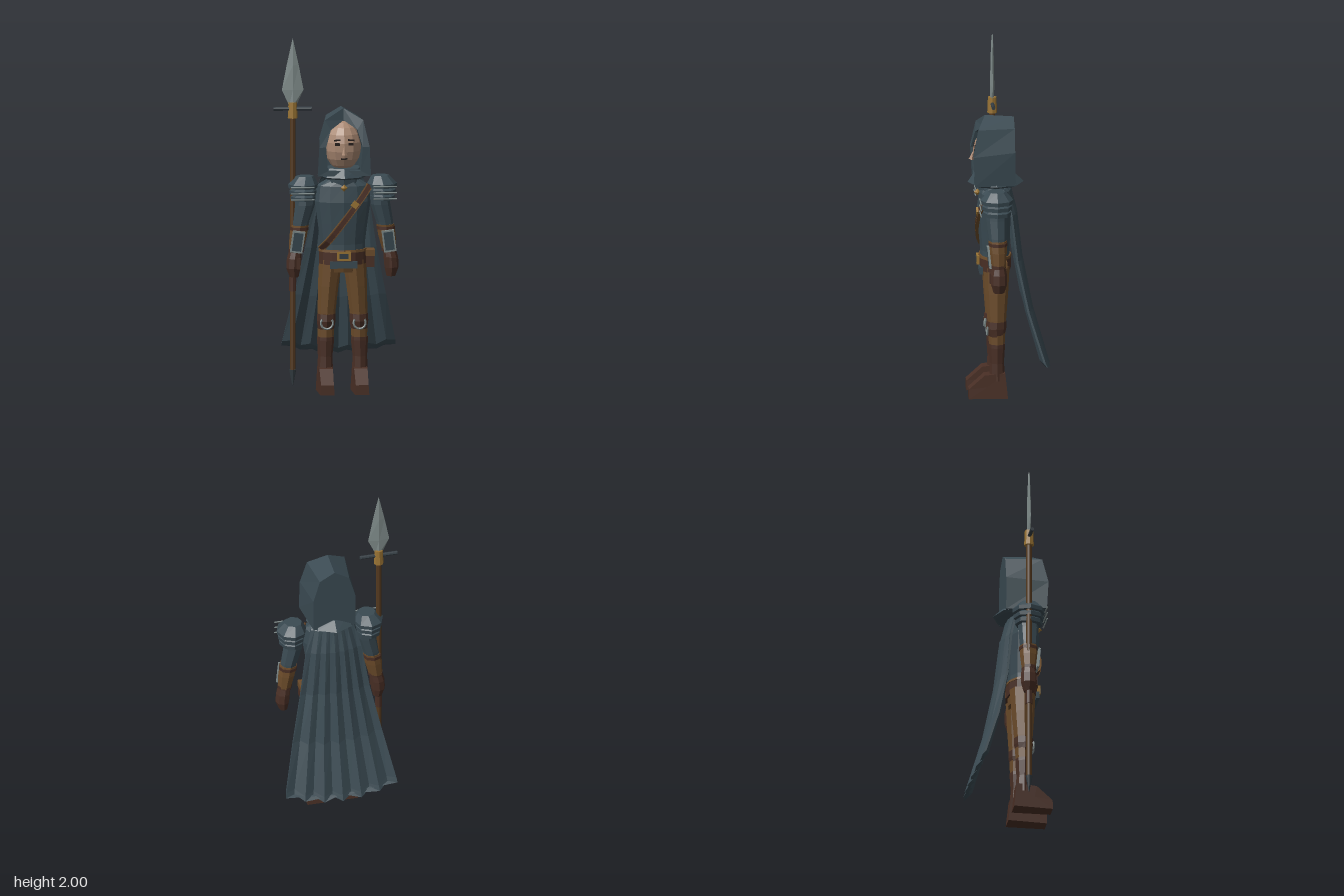
import * as THREE from 'three';

const mat = (name, color) => {
  const m = new THREE.MeshStandardMaterial({ color });
  m.name = name;
  return m;
};

// One ring of points around a vertical axis
const ring = (cx, y, cz, rx, rz, n = 8) =>
  Array.from({ length: n }, (_, i) => {
    const a = (i / n) * Math.PI * 2;
    return [cx + rx * Math.sin(a), y, cz + rz * Math.cos(a)];
  });

// Closed faceted skin through a list of equal loops, always facing outwards
function loft(loops) {
  const tris = [];
  const n = loops[0].length;
  for (let j = 0; j < loops.length - 1; j++) {
    for (let i = 0; i < n; i++) {
      const k = (i + 1) % n;
      const [a, b, c, d] = [loops[j][i], loops[j][k], loops[j + 1][k], loops[j + 1][i]];
      tris.push([a, b, c], [a, c, d]);
    }
  }
  const cap = (l, flip) => {
    const c = [0, 1, 2].map(q => l.reduce((s, p) => s + p[q], 0) / n);
    l.forEach((p, i) => {
      const o = l[(i + 1) % n];
      tris.push(flip ? [c, o, p] : [c, p, o]);
    });
  };
  cap(loops[0], true);
  cap(loops[loops.length - 1], false);
  let volume = 0;
  for (const [a, b, c] of tris) {
    volume += a[0] * (b[1] * c[2] - b[2] * c[1]) + a[1] * (b[2] * c[0] - b[0] * c[2]) + a[2] * (b[0] * c[1] - b[1] * c[0]);
  }
  if (volume < 0) tris.forEach(t => t.reverse());
  const g = new THREE.BufferGeometry();
  g.setAttribute('position', new THREE.Float32BufferAttribute(tris.flat(2), 3));
  g.computeVertexNormals();
  return g;
}

const facet = g => {
  const f = g.index ? g.toNonIndexed() : g;
  f.computeVertexNormals();
  return f;
};

export function createModel() {
  const M = {
    cloth: mat('slate cloth', 0x3a4a52),
    trouser: mat('tan leather', 0x6b4b2a),
    leather: mat('dark brown leather', 0x492f25),
    skin: mat('skin', 0xa98872),
    steel: mat('pale steel', 0x818d8c),
    iron: mat('dark iron', 0x343d43),
    gold: mat('brass', 0x9a7434),
    wood: mat('spear wood', 0x54391f),
    dark: mat('eye black', 0x231c1a),
  };
  const model = new THREE.Group();
  const body = new THREE.Group();
  body.name = 'figure';
  body.position.x = 0.03;
  model.add(body);

  const add = (name, geo, m, x = 0, y = 0, z = 0, parent = body) => {
    const mesh = new THREE.Mesh(geo, m);
    mesh.name = name;
    mesh.position.set(x, y, z);
    parent.add(mesh);
    return mesh;
  };
  const box = (name, w, h, d, m, x, y, z) => add(name, new THREE.BoxGeometry(w, h, d), m, x, y, z);
  // rows: [x, y, z, rx, rz]
  const limb = (name, m, rows, n = 8) => add(name, loft(rows.map(r => ring(...r, n))), m);

  // Torso, belt and tunic hem
  limb('torso', M.cloth, [[0, 0.76, 0.085, 0.125, 0.085], [0, 0.84, 0.085, 0.125, 0.083], [0, 0.96, 0.088, 0.14, 0.09],
    [0, 1.08, 0.09, 0.158, 0.096], [0, 1.17, 0.088, 0.148, 0.085], [0, 1.21, 0.088, 0.08, 0.07]], 12);
  limb('hips', M.trouser, [[0, 0.68, 0.08, 0.1, 0.07], [0, 0.76, 0.085, 0.125, 0.083]], 12);
  limb('belt', M.leather, [[0, 0.725, 0.085, 0.132, 0.09], [0, 0.8, 0.085, 0.132, 0.09]], 12);
  limb('beltTrim', M.trouser, [[0, 0.796, 0.085, 0.136, 0.094], [0, 0.81, 0.085, 0.134, 0.092]], 12);
  box('tunicHem', 0.155, 0.04, 0.02, M.cloth, 0, 0.727, 0.165);
  box('buckle', 0.075, 0.05, 0.014, M.gold, 0, 0.778, 0.181);
  box('buckleCentre', 0.05, 0.028, 0.006, M.iron, 0, 0.778, 0.189);
  box('pouch', 0.045, 0.09, 0.08, M.leather, 0.155, 0.75, 0.07);
  box('pouchFlap', 0.052, 0.035, 0.086, M.trouser, 0.155, 0.785, 0.07);

  // Diagonal chest strap with stitched edges
  const strap = (w, lift, shift) => loft(Array.from({ length: 9 }, (_, i) => {
    const t = i / 8, x = -0.125 + 0.275 * t, y = 0.81 + 0.36 * t;
    const half = 0.126 + 0.036 * Math.sin(t * 2.1);
    const z = 0.088 + 0.094 * Math.sqrt(Math.max(0.05, 1 - (x / half) ** 2));
    const p = (s, dz) => [x - 0.8 * (s * w + shift), y + 0.6 * (s * w + shift), z + dz];
    return [p(-1, -0.01), p(1, -0.01), p(1, lift), p(-1, lift)];
  }));
  add('chestStrap', strap(0.016, 0.01, 0), M.leather);
  for (const s of [-1, 1]) add('strapEdge', strap(0.0025, 0.013, s * 0.016), M.trouser);
  box('strapBuckle', 0.035, 0.035, 0.012, M.gold, 0.062, 1.07, 0.188).rotation.z = 0.92;

  // Neck and flared collar
  limb('neck', M.cloth, [[0, 1.15, 0.085, 0.1, 0.085], [0, 1.25, 0.095, 0.09, 0.085]]);
  limb('collar', M.cloth, [[0, 1.215, 0.08, 0.13, 0.14], [0, 1.225, 0.08, 0.14, 0.158], [0, 1.275, 0.09, 0.115, 0.115]]);
  add('clasp', facet(new THREE.OctahedronGeometry(0.02)), M.gold, 0, 1.165, 0.182);

  // Head and face
  const head = add('head', facet(new THREE.SphereGeometry(1, 12, 9)), M.skin, 0, 1.395, 0.108);
  head.scale.set(0.104, 0.14, 0.1);
  for (const s of [-1, 1]) {
    box('eye', 0.028, 0.014, 0.009, M.dark, s * 0.038, 1.415, 0.199);
    box('eyebrow', 0.036, 0.008, 0.009, M.dark, s * 0.04, 1.438, 0.197).rotation.z = -s * 0.1;
  }
  const nose = add('nose', facet(new THREE.ConeGeometry(0.016, 0.055, 4)), M.skin, 0, 1.382, 0.21);
  nose.rotation.x = -0.2;
  box('mouth', 0.034, 0.008, 0.009, M.dark, 0, 1.332, 0.195);

  // Hood: back wall, outer rim, inner rim, inner back wall
  const hoodLoop = half => [...half, ...half.slice(1).reverse().map(([x, y, z]) => [-x, y, z])];
  add('hood', loft([
    hoodLoop([[0, 1.6, -0.022], [0.085, 1.55, -0.022], [0.122, 1.42, -0.022], [0.12, 1.225, -0.022]]),
    hoodLoop([[0, 1.612, 0.14], [0.108, 1.55, 0.185], [0.142, 1.4, 0.215], [0.15, 1.235, 0.205]]),
    hoodLoop([[0, 1.545, 0.15], [0.075, 1.495, 0.19], [0.103, 1.4, 0.213], [0.092, 1.265, 0.203]]),
    hoodLoop([[0, 1.54, 0.05], [0.075, 1.49, 0.05], [0.1, 1.4, 0.05], [0.09, 1.27, 0.05]]),
  ]), M.cloth);

  for (const s of [-1, 1]) {
    // Arm, bracer and glove
    limb('upperArm', M.cloth, [[s * 0.2, 1.17, 0.085, 0.055, 0.06], [s * 0.212, 1.06, 0.088, 0.056, 0.058],
      [s * 0.236, 0.96, 0.085, 0.048, 0.05], [s * 0.245, 0.91, 0.085, 0.044, 0.045]]);
    limb('bracer', M.trouser, [[s * 0.24, 0.945, 0.085, 0.05, 0.051], [s * 0.25, 0.88, 0.083, 0.049, 0.049],
      [s * 0.264, 0.79, 0.08, 0.038, 0.038]]);
    for (const [y, d, r] of [[0.925, 0.243, 0.053], [0.8, 0.262, 0.042]])
      limb('bracerStrap', M.leather, [[s * d, y - 0.009, 0.083, r, r], [s * d, y + 0.009, 0.083, r, r]]);
    const tilt = s * 0.13;
    box('bracerPlateRim', 0.07, 0.125, 0.012, M.steel, s * 0.257, 0.855, 0.134).rotation.set(0.1, 0, tilt);
    box('bracerPlate', 0.052, 0.105, 0.008, M.cloth, s * 0.257, 0.855, 0.139).rotation.set(0.1, 0, tilt);
    limb('glove', M.leather, [[s * 0.264, 0.8, 0.08, 0.036, 0.036], [s * 0.272, 0.755, 0.08, 0.041, 0.045],
      [s * 0.276, 0.7, 0.08, 0.04, 0.045], [s * 0.272, 0.65, 0.08, 0.025, 0.03]]);
    box('thumb', 0.022, 0.06, 0.025, M.leather, s * 0.25, 0.73, 0.118);

    // Layered shoulder guard and its front rods
    [[1.085, 0.07], [1.12, 0.076], [1.155, 0.083]].forEach(([y, r], i) => {
      limb('shoulderPlate', M.cloth, [[s * 0.222, y, 0.088, r, r + 0.008], [s * 0.222, y + 0.022, 0.088, r + 0.002, r + 0.01],
        [s * 0.212, y + (i === 2 ? 0.068 : 0.05), 0.088, r * 0.6, r * 0.6]]);
      const rod = add('shoulderRod', new THREE.CylinderGeometry(0.004, 0.004, 0.13, 6), M.steel, s * 0.232, y + 0.015, 0.181);
      rod.rotation.z = Math.PI / 2;
    });

    // Leg, knee guard and boot
    limb('leg', M.trouser, [[s * 0.066, 0.75, 0.08, 0.066, 0.074], [s * 0.08, 0.6, 0.08, 0.058, 0.065],
      [s * 0.09, 0.45, 0.08, 0.05, 0.053], [s * 0.095, 0.29, 0.08, 0.044, 0.043]]);
    limb('kneeGuard', M.leather, [[s * 0.093, 0.355, 0.082, 0.046, 0.046], [s * 0.092, 0.4, 0.084, 0.053, 0.058],
      [s * 0.091, 0.44, 0.082, 0.051, 0.056]]);
    const trim = add('kneeTrim', facet(new THREE.TorusGeometry(0.034, 0.006, 4, 10, Math.PI * 1.4)), M.steel, s * 0.092, 0.393, 0.134);
    trim.rotation.z = Math.PI * 0.8;
    limb('bootShaft', M.leather, [[s * 0.0975, 0.1, 0.077, 0.045, 0.045], [s * 0.0975, 0.2, 0.08, 0.041, 0.04],
      [s * 0.095, 0.29, 0.08, 0.048, 0.046], [s * 0.095, 0.31, 0.08, 0.047, 0.046]]);
    const side = [[0.02, 0, 0.048], [0.24, 0, 0.04], [0.24, 0.055, 0.036], [0.15, 0.135, 0.038], [0.035, 0.145, 0.04]];
    add('boot', loft([-1, 1].map(e => side.map(([z, y, w]) => [s * 0.0975 + e * w, y, z]))), M.leather);
  }

  // Pleated cape; rows: [y, half width, z, pleat depth, thickness]
  const capeRows = [[1.205, 0.115, 0.01, 0.003, 0], [1.19, 0.125, -0.005, 0.005, 0.012], [1.06, 0.16, -0.035, 0.01, 0.012],
    [0.8, 0.2, -0.062, 0.016, 0.012], [0.5, 0.258, -0.118, 0.022, 0.012], [0.2, 0.318, -0.2, 0.03, 0.012], [0.17, 0.322, -0.21, 0.03, 0]];
  add('cape', loft(capeRows.map(([y, w, z, p, t]) => {
    const row = Array.from({ length: 13 }, (_, i) => {
      const u = (i - 6) / 6, low = Math.max(0, (0.8 - y) / 0.63);
      return [u * w, y + low * (0.05 * u * u + (i % 2) * 0.022), z + 0.035 * u * u + (i % 2 ? p / 2 : -p / 2)];
    });
    return [...row, ...row.map(([x, yy, zz]) => [x, yy, zz + t]).reverse()];
  })), M.cloth);

  // Spear
  const spear = new THREE.Group();
  spear.name = 'spear';
  spear.position.set(-0.25, 0, 0.08);
  model.add(spear);
  const turned = (name, m, r1, r2, y1, y2) =>
    add(name, facet(new THREE.CylinderGeometry(r2, r1, y2 - y1, 8)), m, 0, (y1 + y2) / 2, 0, spear);
  turned('shaft', M.wood, 0.016, 0.016, 0.12, 1.58);
  turned('buttSpike', M.iron, 0.002, 0.02, 0.03, 0.125);
  turned('lowerGrip', M.leather, 0.02, 0.02, 0.57, 0.65);
  turned('socket', M.gold, 0.028, 0.024, 1.55, 1.64);
  const bar = add('crossbar', facet(new THREE.CylinderGeometry(0.011, 0.011, 0.216, 8)), M.iron, 0, 1.603, 0, spear);
  bar.rotation.z = Math.PI / 2;
  add('blade', loft([[1.62, 0.02, 0.011], [1.71, 0.061, 0.012], [1.85, 0.034, 0.01], [2, 0.001, 0.004]]
    .map(([y, rx, rz]) => ring(0, y, 0, rx, rz, 4))), M.steel, 0, 0, 0, spear);

  return model;
}
